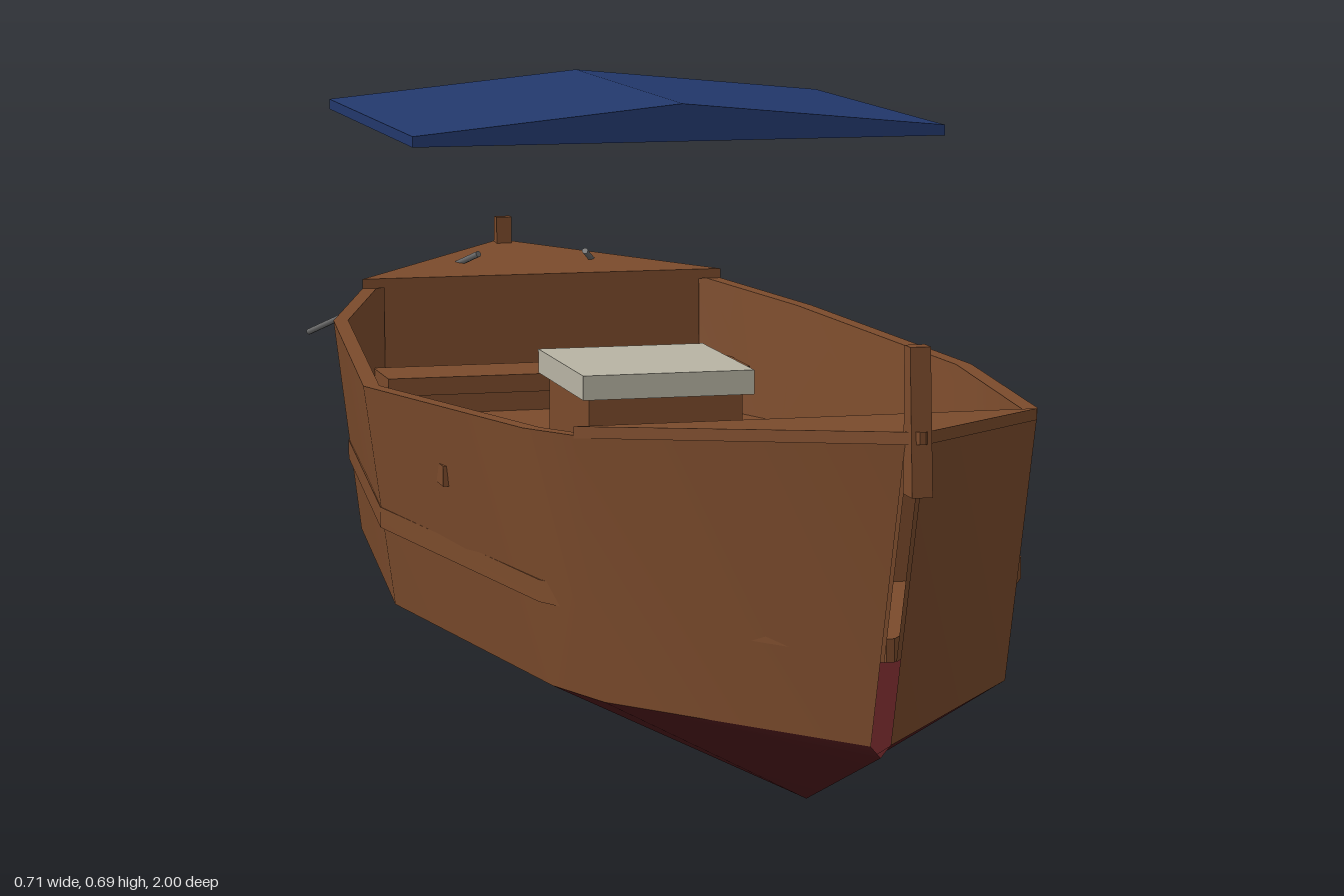
import * as THREE from 'three';
import { toCreasedNormals } from 'three/addons/utils/BufferGeometryUtils.js';

const mat = (name, color, side = THREE.FrontSide) => {
  const m = new THREE.MeshStandardMaterial({ color, side });
  m.name = name;
  return m;
};

// Skin a list of equal-length cross-sections, ordered from bow to stern
function loft(rows) {
  const n = rows[0].length, index = [];
  for (let i = 0; i < rows.length - 1; i++) {
    for (let j = 0; j < n - 1; j++) {
      const a = i * n + j, b = a + n, c = b + 1, d = a + 1;
      index.push(a, d, c, a, c, b);
    }
  }
  const g = new THREE.BufferGeometry();
  g.setAttribute('position', new THREE.Float32BufferAttribute(rows.flat(2), 3));
  g.setIndex(index);
  return toCreasedNormals(g, 0.5);
}

// Closed slab through [z, halfWidth, topY, bottomY] sections, capped at both ends
function slab(sections) {
  const rows = sections.map(([z, x, t, b]) =>
    [[-x, t, z], [x, t, z], [x, b, z], [-x, b, z], [-x, t, z]]);
  const cap = ([z, , t, b]) => Array(5).fill([0, (t + b) / 2, z]);
  return loft([cap(sections[0]), ...rows, cap(sections.at(-1))]);
}

export function createModel() {
  const boat = new THREE.Group();
  boat.name = 'boat';
  const wood = mat('brown wood', 0x7b4b2c, THREE.DoubleSide);
  const red = mat('dark red bottom paint', 0x501a1c, THREE.DoubleSide);
  const blue = mat('blue canvas', 0x22386c);
  const cream = mat('cream lid', 0xb8b4a4);
  const grey = mat('grey rod', 0x6a6a6a);

  const add = (name, geometry, material, x = 0, y = 0, z = 0) => {
    const m = new THREE.Mesh(geometry, material);
    m.name = name;
    m.position.set(x, y, z);
    boat.add(m);
    return m;
  };
  const box = (name, material, w, y0, y1, z0, z1) =>
    add(name, new THREE.BoxGeometry(w, y1 - y0, z1 - z0), material, 0, (y0 + y1) / 2, (z0 + z1) / 2);

  // Hull stations: sheer z, x, y; chine z, x; keel y
  const stations = [
    [0.98, 0.01, 0.452, 0.875, 0.01, 0.12],
    [0.62, 0.243, 0.405, 0.62, 0.212, 0.02],
    [0.53, 0.275, 0.4, 0.53, 0.245, 0.015],
    [0.07, 0.354, 0.38, 0.07, 0.32, 0.002],
    [-0.41, 0.302, 0.39, -0.41, 0.27, 0.012],
    [-0.59, 0.233, 0.405, -0.59, 0.205, 0.04],
    [-0.835, 0.01, 0.43, -0.765, 0.01, 0.12],
  ];
  const chineY = 0.132, floorY = 0.22;
  const atFloor = ([sz, sx, sy, cz, cx]) => {
    const t = (floorY - chineY) / (sy - chineY);
    return [cx + (sx - cx) * t, cz + (sz - cz) * t];
  };

  // Planked sides with an inner skin and a gunwale rim
  const sideRows = stations.map((s) => {
    const [sz, sx, sy, cz, cx] = s;
    const [fx, fz] = atFloor(s);
    const inset = (x) => Math.max(x - 0.018, 0.006);
    return [[inset(fx), floorY, fz], [inset(sx), sy, sz], [sx, sy, sz], [cx, chineY, cz]];
  });
  const mirrored = sideRows.map((r) => r.map(([x, y, z]) => [-x, y, z]).reverse());
  add('leftSide', loft(sideRows), wood);
  add('rightSide', loft(mirrored), wood);

  // Painted V bottom
  add('hullBottom', loft(stations.map(([, , , cz, cx, ky]) =>
    [[cx, chineY, cz], [0, ky, cz], [-cx, chineY, cz]])), red);

  // Floor, whose edge stands just proud of the planks amidships
  add('floor', slab(stations.map((s, i) => {
    const [x, z] = atFloor(s);
    return [z, i > 1 && i < 5 ? x + 0.004 : Math.max(x - 0.008, 0.004), 0.243, floorY];
  })), wood);

  // Decks with bulkheads below
  add('foreDeck', slab([[1.0, 0.003, 0.457, 0.445], [0.62, 0.243, 0.414, 0.402]]), wood);
  add('aftDeck', slab([[-0.59, 0.233, 0.417, 0.405], [-0.85, 0.003, 0.432, 0.42]]), wood);
  add('foreBulkhead', slab([[0.63, 0.21, 0.403, floorY], [0.62, 0.215, 0.403, floorY]]), wood);
  add('aftBulkhead', slab([[-0.59, 0.205, 0.406, floorY], [-0.6, 0.2, 0.406, floorY]]), wood);

  // Stem and stern posts, leaning inboard
  add('stemPost', slab([[1.0, 0.01, 0.395, 0.395], [0.99, 0.01, 0.535, 0.395],
    [0.972, 0.01, 0.535, 0.395]]), wood);
  add('sternPost', slab([[-0.822, 0.01, 0.465, 0.395], [-0.837, 0.01, 0.465, 0.395],
    [-0.846, 0.01, 0.395, 0.395]]), wood);

  // Seats and engine box
  box('thwart', wood, 0.622, 0.303, 0.325, 0.21, 0.3);
  box('sternBench', wood, 0.46, 0.29, 0.312, -0.535, -0.435);
  box('engineBox', wood, 0.18, 0.24, 0.352, -0.16, 0.04);
  box('engineBoxLid', cream, 0.2, 0.352, 0.38, -0.175, 0.055);

  // Canopy: shallow ridge with a flat underside
  const roof = new THREE.Shape([[-0.305, 0.648], [0.305, 0.648], [0.305, 0.66], [0, 0.69], [-0.305, 0.66]]
    .map(([x, y]) => new THREE.Vector2(x, y)));
  add('canopy', new THREE.ExtrudeGeometry(roof, { depth: 0.52, bevelEnabled: false }), blue, 0, 0, -0.405);

  // Thin rods trailing over the stern
  for (const s of [1, -1]) {
    const a = new THREE.Vector3(0.07 * s, 0.437, -0.655);
    const b = new THREE.Vector3(0.232 * s, 0.297, -0.999);
    const dir = b.clone().sub(a);
    const rod = add(s > 0 ? 'leftRod' : 'rightRod',
      new THREE.CylinderGeometry(0.004, 0.004, dir.length(), 8), grey);
    rod.position.copy(a).add(b).multiplyScalar(0.5);
    rod.quaternion.setFromUnitVectors(new THREE.Vector3(0, 1, 0), dir.normalize());
  }
  return boat;
}
